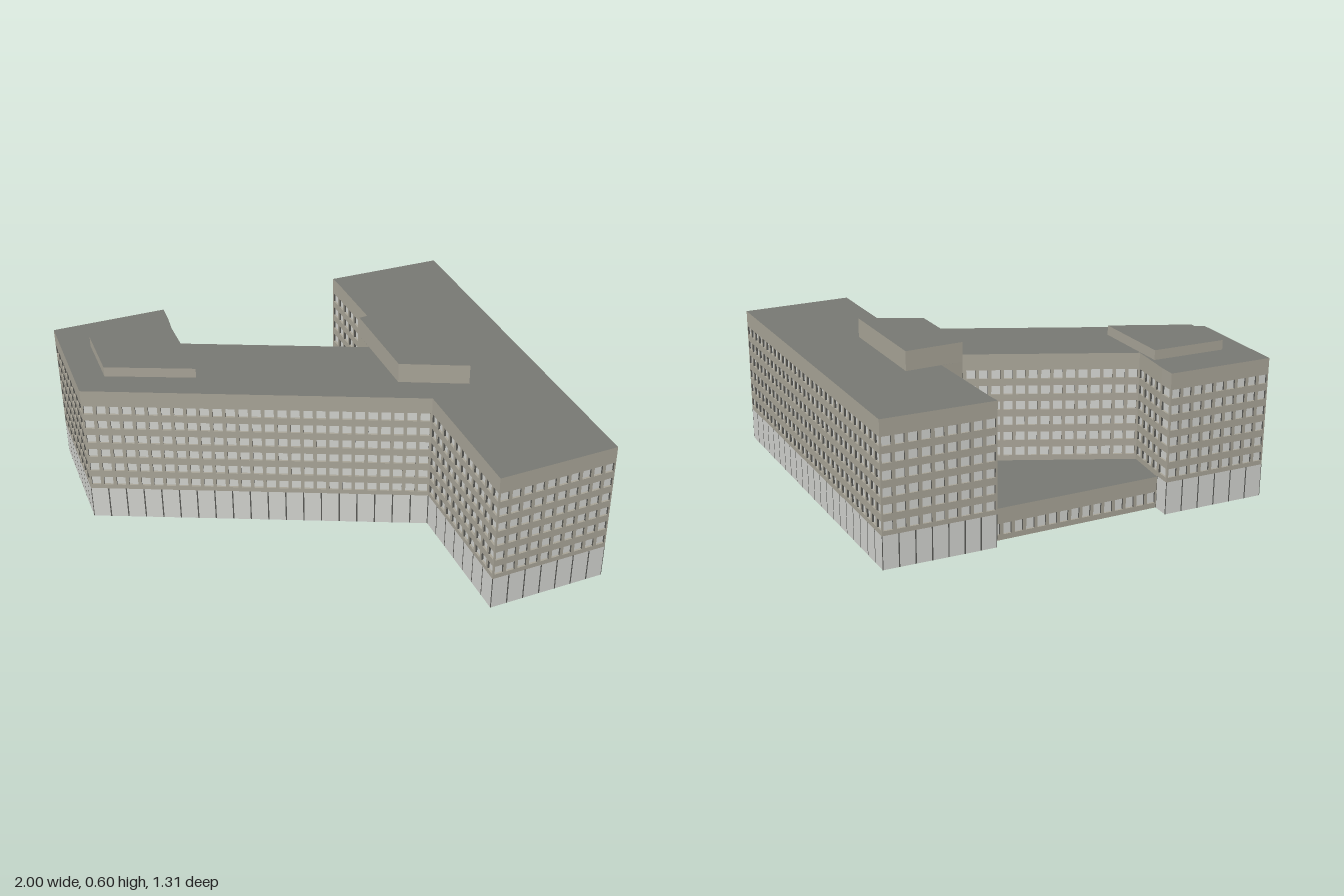
import * as THREE from 'three';

const mat = (name, color) => {
  const m = new THREE.MeshStandardMaterial({ color, side: THREE.DoubleSide });
  m.name = name;
  return m;
};

const ROOF_Y = 0.53, BASE_Y = 0.123, LOW_Y = 0.12;
const ROWS = [0, 1, 2, 3, 4, 5].map(i => [0.14 + i * 0.0593, 0.173 + i * 0.0593]);

// Collects quads of one colour into one mesh
class QuadMesh {
  constructor() { this.pos = []; }
  add(a, b, c, d) { for (const p of [a, b, c, a, c, d]) this.pos.push(...p); }
  build(name, material) {
    const g = new THREE.BufferGeometry();
    g.setAttribute('position', new THREE.Float32BufferAttribute(this.pos, 3));
    g.computeVertexNormals();
    const m = new THREE.Mesh(g, material);
    m.name = name;
    return m;
  }
}

export function createModel() {
  const group = new THREE.Group();
  group.name = 'officeBuilding';
  const wallMat = mat('taupe wall', 0xa9a598);
  const paneMat = mat('pale glazing', 0xd2d3cf);
  const darkMat = mat('dark frame', 0x5a5a56);
  const roofMat = mat('grey roof', 0x787973);
  const walls = new QuadMesh(), panes = new QuadMesh(), frames = new QuadMesh(), base = new QuadMesh();

  // Local frame of a wall from p to q: u along, y up, d inward
  const frame = (p, q) => {
    const len = Math.hypot(q[0] - p[0], q[1] - p[1]);
    const ux = (q[0] - p[0]) / len, uz = (q[1] - p[1]) / len;
    const at = (u, y, d = 0) => [p[0] + ux * u - uz * d, y, p[1] + uz * u + ux * d];
    const rect = (set, u0, u1, y0, y1, d = 0) =>
      set.add(at(u1, y0, d), at(u0, y0, d), at(u0, y1, d), at(u1, y1, d));
    return { len, at, rect };
  };

  // Wall with rows of slightly recessed windows between dark jambs
  const windowWall = (p, q, y0, y1, rows) => {
    const { len, at, rect } = frame(p, q);
    const n = Math.max(1, Math.round(len / 0.044)), pitch = len / n;
    const w = pitch * 0.72, gap = (pitch - w) / 2, depth = 0.007;
    let y = y0;
    for (const [a, b] of rows) {
      rect(walls, 0, len, y, a);
      for (let i = 0; i < n; i++) {
        const s = i * pitch, l = s + gap, r = l + w;
        rect(walls, s, l, a, b);
        rect(walls, r, s + pitch, a, b);
        rect(panes, l, r, a, b, depth);
        for (const u of [l, r]) frames.add(at(u, a), at(u, a, depth), at(u, b, depth), at(u, b));
        for (const v of [a, b]) walls.add(at(l, v), at(r, v), at(r, v, depth), at(l, v, depth));
      }
      y = b;
    }
    rect(walls, 0, len, y, y1);
  };

  // Ground floor panels with thin dark joints
  const baseWall = (p, q) => {
    const { len, rect } = frame(p, q);
    const n = Math.max(1, Math.round(len / 0.063)), pitch = len / n, j = 0.0022;
    for (let i = 0; i < n; i++) {
      rect(base, i * pitch + j, (i + 1) * pitch - j, 0, BASE_Y);
      rect(frames, i * pitch, i * pitch + j, 0, BASE_Y);
      rect(frames, (i + 1) * pitch - j, (i + 1) * pitch, 0, BASE_Y);
    }
  };

  // Flat roof over an outline of [x, z] points
  const roof = (name, pts, y) => {
    const g = new THREE.ShapeGeometry(new THREE.Shape(pts.map(([x, z]) => new THREE.Vector2(x, -z))));
    g.rotateX(-Math.PI / 2).translate(0, y, 0);
    const m = new THREE.Mesh(g, roofMat);
    m.name = name;
    group.add(m);
  };

  // Main outline; a third value is the height where a courtyard wall starts
  const outline = [
    [0.23, -0.656], [1, 0.412], [0.66, 0.656], [0.385, 0.274], [-0.77, 0.492], [-1, 0.147],
    [-0.665, -0.075], [-0.63, -0.02, LOW_Y], [-0.545, 0.135, LOW_Y], [0.115, 0.01, 0.138],
    [0.065, -0.06, 0.138], [0.13, -0.11, LOW_Y], [-0.085, -0.395], [-0.115, -0.43],
  ];
  outline.forEach((p, i) => {
    const q = outline[(i + 1) % outline.length];
    windowWall(p, q, p[2] ?? BASE_Y, ROOF_Y, ROWS);
    if (!p[2]) baseWall(p, q);
  });
  roof('mainRoof', outline, ROOF_Y);

  // Low courtyard block
  windowWall([-0.63, -0.02], [-0.085, -0.395], 0, LOW_Y, [[0.02, 0.062]]);
  roof('courtyardRoof', [[-0.63, -0.02], [-0.085, -0.395], [0.13, -0.11],
    [0.065, -0.06], [0.115, 0.01], [-0.545, 0.135]], LOW_Y);

  // Rooftop plant rooms
  const plantRoom = (name, pts, top) => {
    const sides = new QuadMesh();
    pts.forEach((p, i) => {
      const { len, rect } = frame(p, pts[(i + 1) % pts.length]);
      rect(sides, 0, len, ROOF_Y, top);
    });
    group.add(sides.build(name + 'Walls', wallMat));
    roof(name + 'Roof', pts, top);
  };
  plantRoom('eastPlantRoom', [[0.24, -0.19], [0.49, 0.16], [0.255, 0.202], [0.065, -0.06]], 0.602);
  plantRoom('westPlantRoom', [[-0.6, 0.062], [-0.415, 0.328], [-0.72, 0.388], [-0.835, 0.217]], 0.566);

  group.add(
    walls.build('facadeWalls', wallMat),
    panes.build('windowPanes', paneMat),
    frames.build('windowFrames', darkMat),
    base.build('groundFloorPanels', paneMat),
  );
  return group;
}
